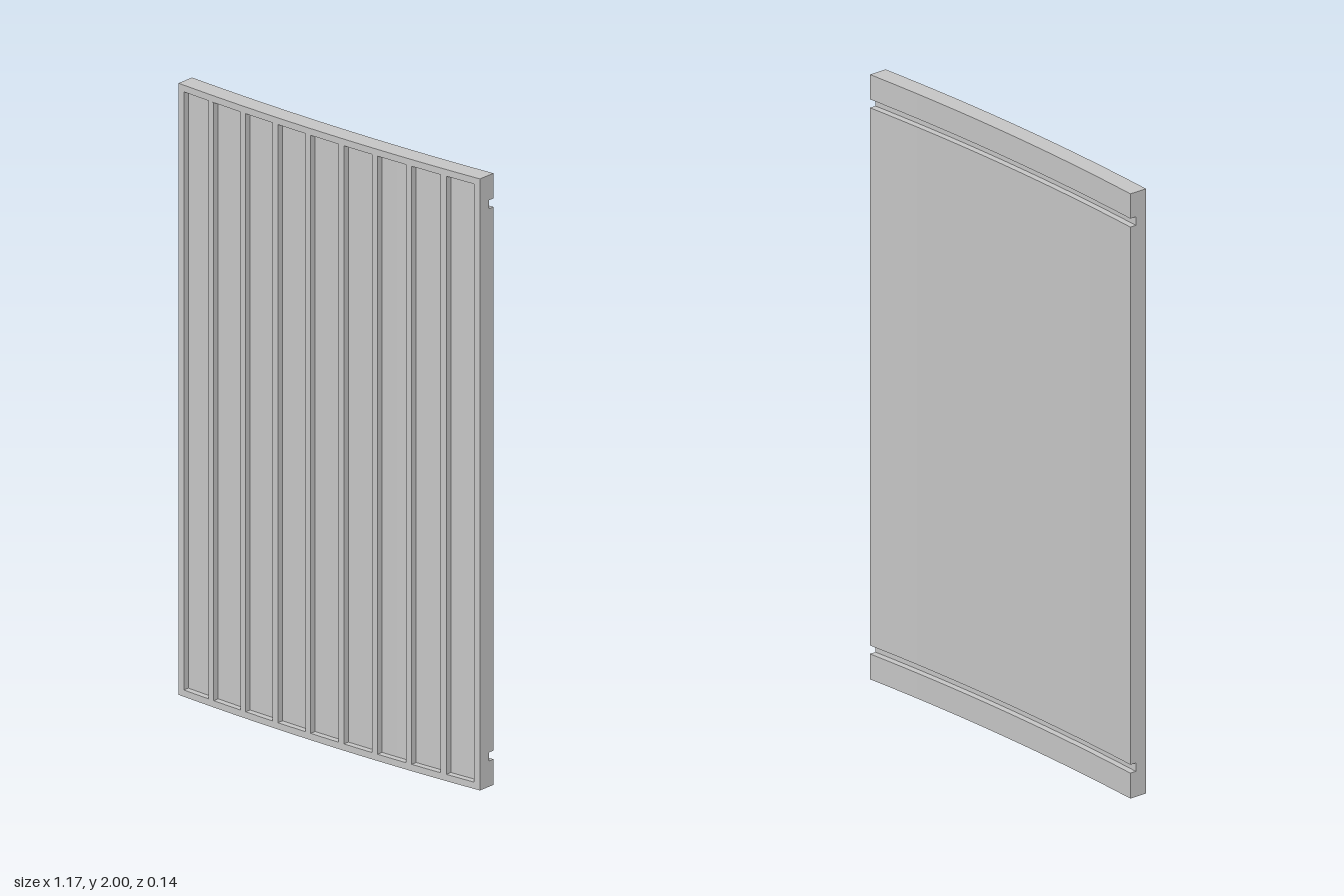
import * as THREE from 'three';

const HALF = 0.584, HEIGHT = 2, RADIUS = 8.36;
const THICK = 0.06, RECESS = 0.02, RAIL = 0.022, SEGMENTS = 18;

// Sweeps a straight part onto the gentle arc of the panel (front face at z = 0 before bending)
function bend(geometry) {
  const g = geometry.index ? geometry.toNonIndexed() : geometry;
  const p = g.attributes.position;
  for (let i = 0; i < p.count; i++) {
    const t = p.getX(i) + HALF;
    const sag = RADIUS - Math.sqrt(RADIUS * RADIUS - t * t);
    p.setZ(i, p.getZ(i) + 0.071 - sag);
  }
  g.computeVertexNormals();
  return g;
}

export function createModel() {
  const model = new THREE.Group();
  model.name = 'curvedPanel';
  const grey = new THREE.MeshStandardMaterial({ color: 0xc4c4c4 });
  grey.name = 'light grey';

  function add(name, geometry) {
    const mesh = new THREE.Mesh(bend(geometry), grey);
    mesh.name = name;
    model.add(mesh);
  }

  // Backing: side profile with two mounting grooves, extruded across the width
  const slot = 0.039;
  const profile = new THREE.Shape([
    [RECESS, 0], [THICK, 0],
    [THICK, 0.084], [slot, 0.084], [slot, 0.112], [THICK, 0.112],
    [THICK, 1.89], [slot, 1.89], [slot, 1.918], [THICK, 1.918],
    [THICK, HEIGHT], [RECESS, HEIGHT],
  ].map(([x, y]) => new THREE.Vector2(x, y)));
  const backing = new THREE.ExtrudeGeometry(profile, {
    depth: 2 * HALF, steps: SEGMENTS, bevelEnabled: false,
  });
  backing.rotateY(Math.PI / 2).translate(-HALF, 0, 0);
  add('groovedBacking', backing);

  // Raised front frame bars
  function bar(name, x0, x1, y0, y1, segments) {
    const g = new THREE.BoxGeometry(x1 - x0, y1 - y0, RECESS, segments, 1, 1);
    g.translate((x0 + x1) / 2, (y0 + y1) / 2, -RECESS / 2);
    add(name, g);
  }
  bar('bottomRail', -HALF, HALF, 0, RAIL, SEGMENTS);
  bar('topRail', -HALF, HALF, HEIGHT - RAIL, HEIGHT, SEGMENTS);

  // Upright stiles between the nine recessed fields
  const pitch = 0.1286, gap = 0.0105;
  for (let i = 0; i < 8; i++) {
    const x = (i - 3.5) * pitch;
    bar('stile' + (i + 1), x - gap, x + gap, RAIL, HEIGHT - RAIL, 1);
  }
  bar('rightEdgeStile', -HALF, -0.562, RAIL, HEIGHT - RAIL, 1);
  bar('leftEdgeStile', 0.562, HALF, RAIL, HEIGHT - RAIL, 1);

  return model;
}
